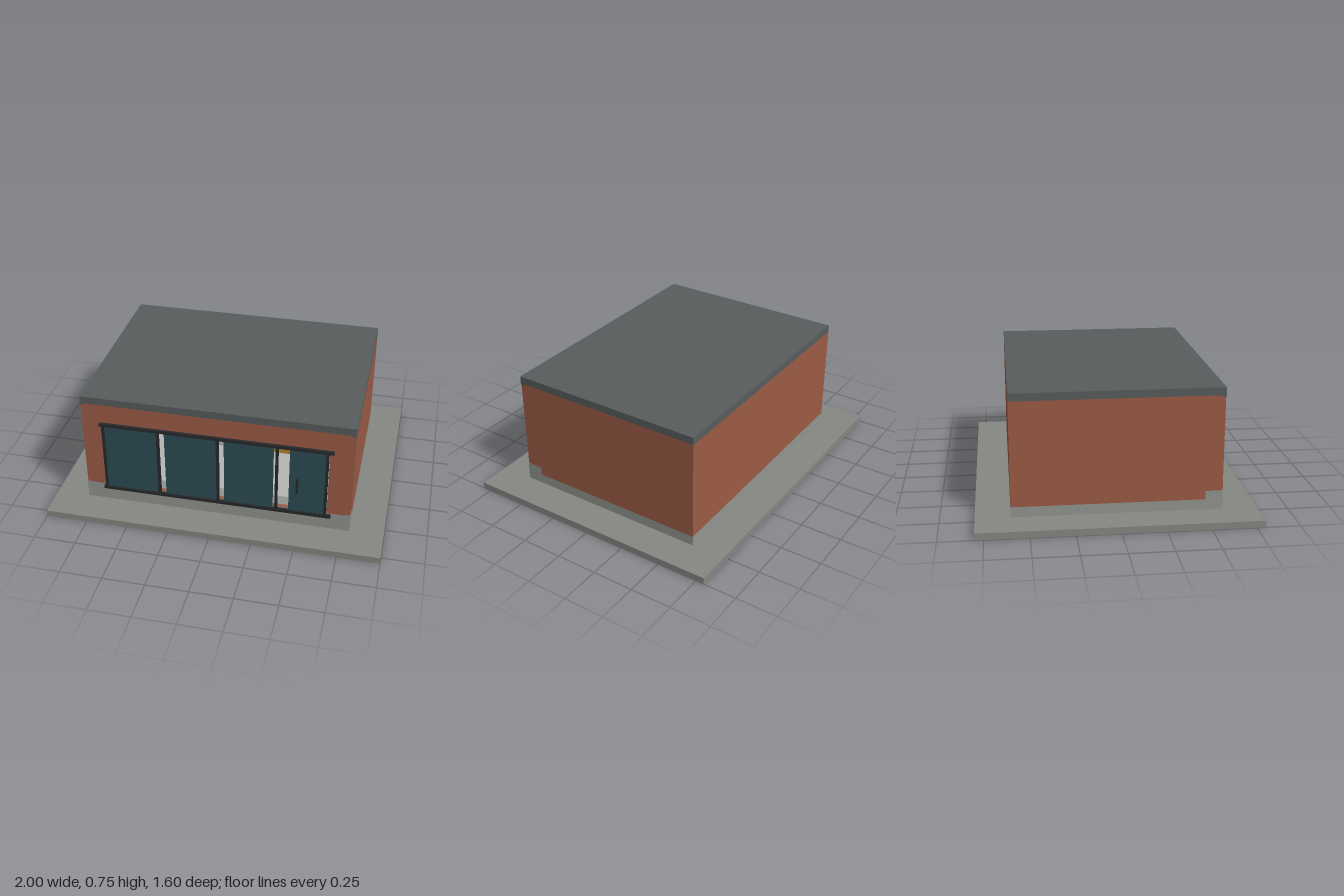
import * as THREE from 'three';

const paint = (color) => new THREE.MeshStandardMaterial({ color });

export function createModel() {
  const model = new THREE.Group();
  const brick = paint(0x9b5b45);
  const concrete = paint(0x92958f);
  const paving = paint(0x858782);
  const roofing = paint(0x585c5d);
  const frame = paint(0x25282a);
  const glass = paint(0x2c4b53);
  const floorGrey = paint(0xb4b6b4);
  const orange = paint(0xb8832c);

  // Box given by its minimum and maximum corners
  function box(name, mat, [x0, x1], [y0, y1], [z0, z1], parent = model) {
    const mesh = new THREE.Mesh(new THREE.BoxGeometry(x1 - x0, y1 - y0, z1 - z0), mat);
    mesh.position.set((x0 + x1) / 2, (y0 + y1) / 2, (z0 + z1) / 2);
    mesh.name = name;
    parent.add(mesh);
    return mesh;
  }

  // Base: paving, plinth and the raised sill along the front
  box('paving', paving, [-1, 1], [0, 0.04], [-0.8, 0.8]);
  box('plinth', concrete, [-0.8, 0.8], [0.04, 0.1], [-0.6, 0.6]);
  box('frontSill', concrete, [-0.8, 0.8], [0.1, 0.15], [0.5, 0.6]);
  box('floor', floorGrey, [-0.775, 0.775], [0.1, 0.104], [-0.575, 0.5]);

  // Brick shell
  box('backWall', brick, [-0.8, 0.8], [0.1, 0.71], [-0.6, -0.575]);
  for (const side of [-1, 1]) {
    const span = (a, b) => (side > 0 ? [a, b] : [-b, -a]);
    box('sideWall', brick, span(0.775, 0.8), [0.1, 0.71], [-0.575, 0.5]);
    box('sideWallFront', brick, span(0.775, 0.8), [0.15, 0.71], [0.5, 0.575]);
    box('cornerPost', brick, span(0.777, 0.798), [0.15, 0.7], [0.575, 0.598]);
    box('cornerCap', roofing, span(0.775, 0.8), [0.7, 0.71], [0.575, 0.6]);
  }

  // Front wall with the window opening
  const wall = new THREE.Shape();
  wall.moveTo(-0.775, 0.15).lineTo(0.775, 0.15).lineTo(0.775, 0.71).lineTo(-0.775, 0.71).closePath();
  const opening = new THREE.Path();
  opening.moveTo(-0.67, 0.151).lineTo(-0.67, 0.585).lineTo(0.66, 0.585).lineTo(0.66, 0.151).closePath();
  wall.holes.push(opening);
  const frontWall = new THREE.Mesh(
    new THREE.ExtrudeGeometry(wall, { depth: 0.025, bevelEnabled: false }), brick);
  frontWall.position.z = 0.575;
  frontWall.name = 'frontWall';
  model.add(frontWall);

  // Flat roof
  box('roof', roofing, [-0.8, 0.8], [0.71, 0.755], [-0.6, 0.6]);

  // Sliding glass front
  const glazing = new THREE.Group();
  glazing.name = 'glassFront';
  model.add(glazing);
  box('topRail', frame, [-0.69, 0.685], [0.575, 0.592], [0.6, 0.618], glazing);
  box('bottomRail', frame, [-0.69, 0.685], [0.125, 0.145], [0.6, 0.618], glazing);
  for (const x of [-0.67, -0.34, 0.015, 0.362, 0.65])
    box('mullion', frame, [x - 0.008, x + 0.008], [0.145, 0.575], [0.6, 0.616], glazing);
  for (const span of [[-0.665, -0.345], [-0.302, 0.012], [0.052, 0.342], [0.435, 0.648]])
    box('glassPane', glass, span, [0.145, 0.577], [0.602, 0.608], glazing);
  box('doorHandle', frame, [0.477, 0.489], [0.28, 0.38], [0.608, 0.624], glazing);

  // Low furniture inside
  box('cabinet', orange, [0.02, 0.6], [0.104, 0.32], [-0.4, 0]);
  box('bench', floorGrey, [-0.28, 0.02], [0.104, 0.32], [-0.4, 0]);

  return model;
}
